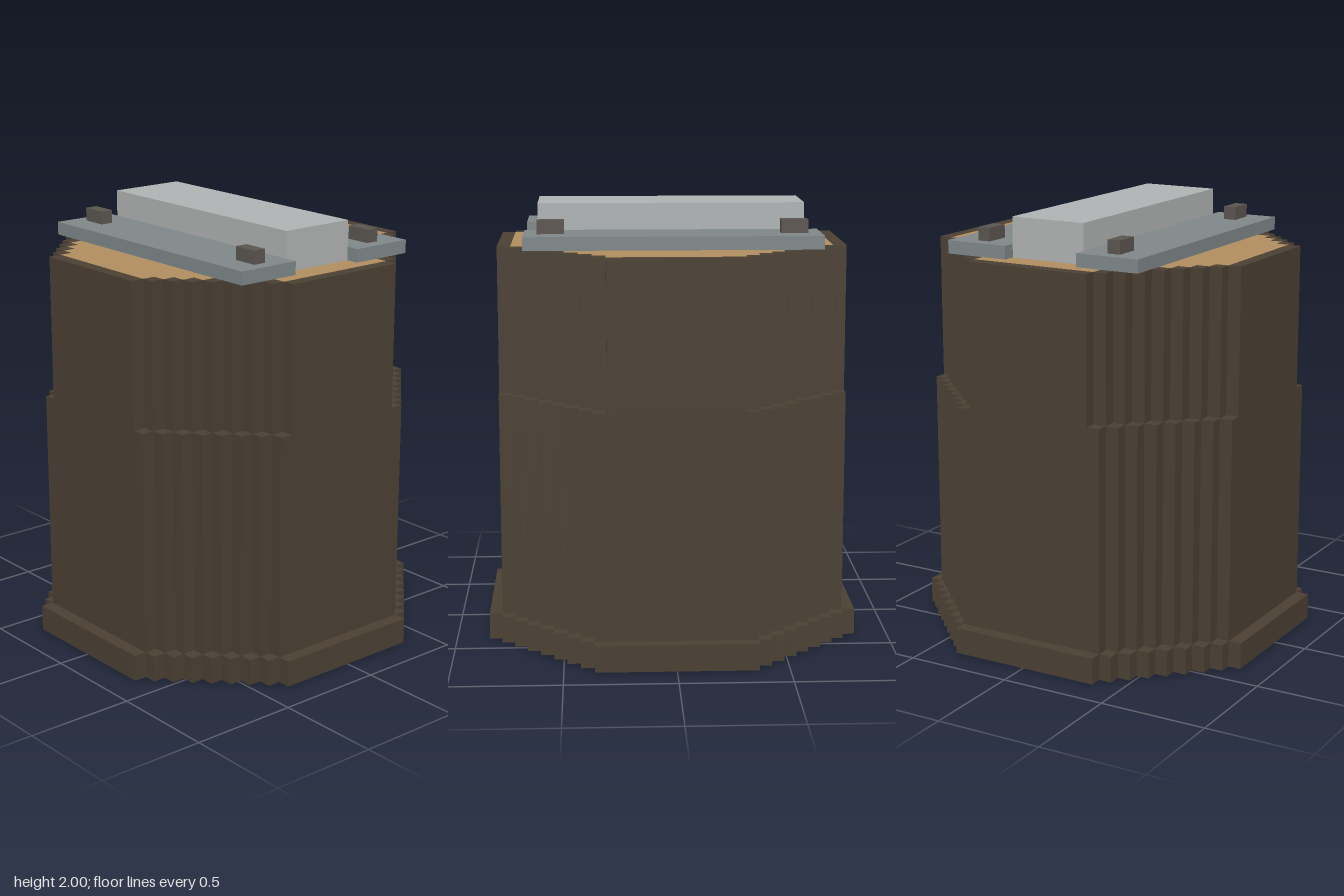
import * as THREE from 'three';

const U = 2 / 33; // one block of the stepped grid

const material = (name, color) => {
  const m = new THREE.MeshStandardMaterial({ color });
  m.name = name;
  return m;
};

// Octagon with staircase corners: outer radius r, half length h of the flat sides
function steppedOutline(r, h) {
  const points = [];
  for (let turn = 0; turn < 4; turn++) {
    for (let k = 0; k <= r - h; k++) {
      const corners = [[h + k, r - k]];
      if (k < r - h) corners.push([h + k, r - k - 1]);
      for (let [x, y] of corners) {
        for (let t = 0; t < turn; t++) [x, y] = [y, -x];
        points.push(new THREE.Vector2(x * U, y * U));
      }
    }
  }
  return points;
}

export function createModel() {
  const group = new THREE.Group();
  const bark = material('dark brown', 0x4a4033);
  const wood = material('tan', 0xb08d5f);
  const steel = material('blue grey', 0x7e8789);
  const silver = material('light grey', 0xb0b3b3);
  const iron = material('dark grey', 0x5b554f);

  const add = (name, geometry, mat) => {
    const mesh = new THREE.Mesh(geometry, mat);
    mesh.name = name;
    group.add(mesh);
    return mesh;
  };

  // Upright stepped prism between two block heights, optionally hollow
  const prism = (name, mat, r, h, y0, y1, hole) => {
    const shape = new THREE.Shape(steppedOutline(r, h));
    if (hole) shape.holes.push(new THREE.Path(steppedOutline(...hole)));
    const geometry = new THREE.ExtrudeGeometry(shape, { depth: (y1 - y0) * U, bevelEnabled: false });
    geometry.rotateX(-Math.PI / 2).translate(0, y0 * U, 0);
    add(name, geometry, mat);
  };

  // Box given by its extents in blocks
  const block = (name, mat, x0, x1, y0, y1, z0, z1) => {
    const geometry = new THREE.BoxGeometry((x1 - x0) * U, (y1 - y0) * U, (z1 - z0) * U);
    geometry.translate((x0 + x1) / 2 * U, (y0 + y1) / 2 * U, (z0 + z1) / 2 * U);
    add(name, geometry, mat);
  };

  // Body
  prism('base', bark, 14, 6, 0, 2);
  prism('lowerBody', bark, 13, 6, 2, 19);
  prism('upperBody', bark, 13, 5, 19, 30, [12, 5]);
  prism('lid', wood, 12, 5, 29, 30);

  // Fittings on the lid
  block('centreBar', silver, -10, 10, 30, 33, -3, 3);
  for (const s of [-1, 1]) {
    block('sidePlate', steel, -11, 11, 30, 31, s * 5.5 - 2.5, s * 5.5 + 2.5);
    for (const t of [-1, 1]) {
      block('bolt', iron, t * 9 - 1, t * 9 + 1, 31, 32, s * 5.5 - 0.5, s * 5.5 + 0.5);
    }
  }
  return group;
}
